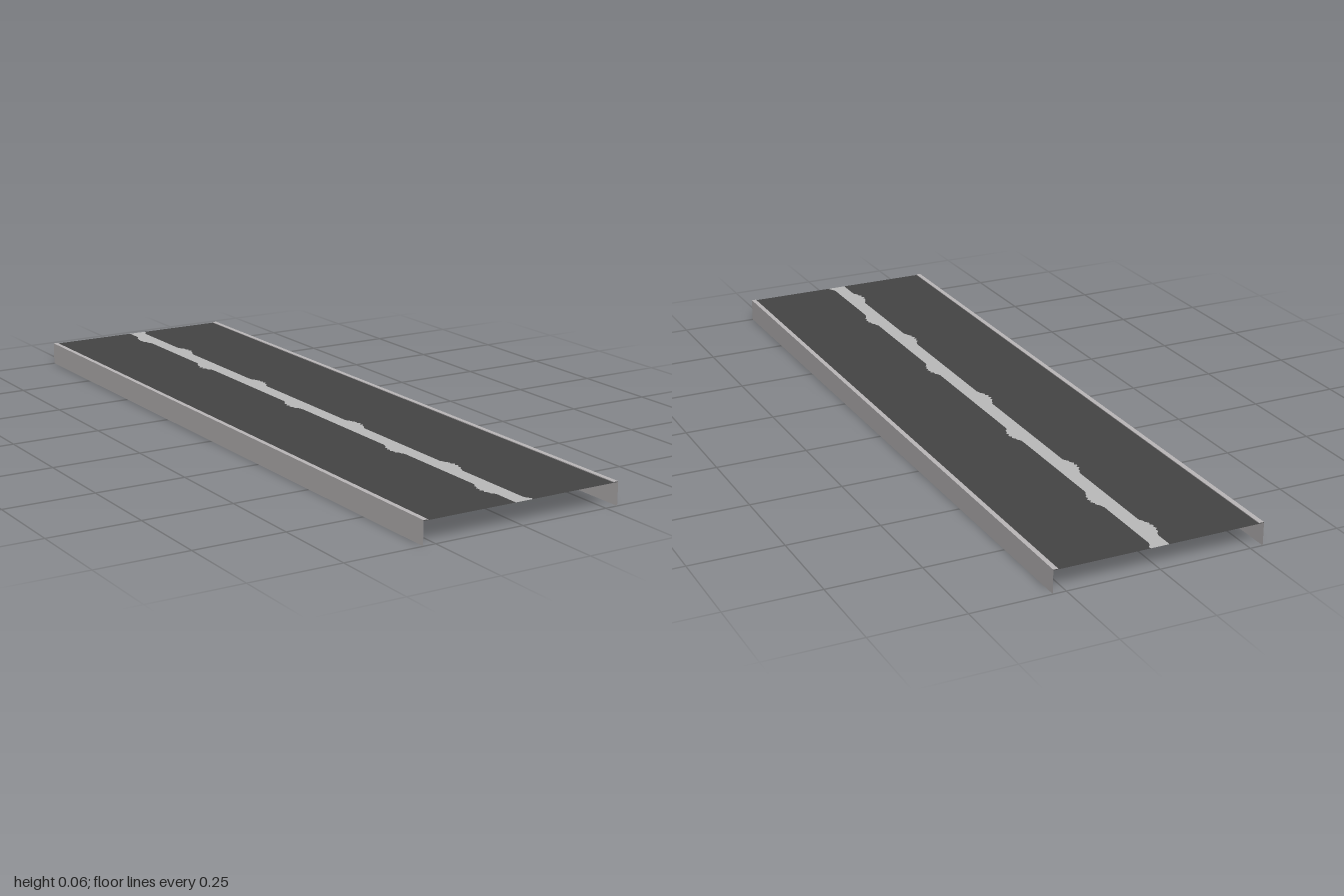
import * as THREE from 'three';

const mat = (name, color) => new THREE.MeshStandardMaterial({ name, color, side: THREE.DoubleSide });

export function createModel() {
  const asphalt = mat('asphalt', 0x444444);
  const paint = mat('line paint', 0xbababa);
  const concrete = mat('concrete', 0xbab7b8);

  const HALF = 0.285, TOP = 0.063, DECK = 0.061, KERB = 0.013, STEP = 0.008;
  const group = new THREE.Group();
  group.name = 'roadSection';

  const add = (name, geometry, material) => {
    const mesh = new THREE.Mesh(geometry, material);
    mesh.name = name;
    group.add(mesh);
    return mesh;
  };

  // Ragged edge of the centre line: straight, with small worn bulges
  const raggedEdge = (base, reach, bulges) => {
    const points = [];
    for (let i = 0; i <= 250; i++) {
      const z = -1 + i * STEP;
      let x = base;
      for (const b of bulges) {
        const d = Math.abs(z - b) / 0.045;
        if (d < 1) x += reach * (1 - d * d) * (i % 2 ? 1 : 0.65);
      }
      points.push([x, z]);
    }
    return points;
  };
  const leftEdge = raggedEdge(-0.023, -0.018, [-0.9, -0.51, -0.01, 0.49, 0.88]);
  const rightEdge = raggedEdge(0.018, 0.018, [-1.02, -0.71, -0.27, 0.24, 0.68, 1.02]);

  // Flat strip of deck between two edges running along z
  const strip = (a, b) => {
    const position = [], index = [];
    a.forEach(([x, z], i) => {
      position.push(x, DECK, z, b[i][0], DECK, b[i][1]);
      const k = i * 2;
      if (i < a.length - 1) index.push(k, k + 2, k + 1, k + 1, k + 2, k + 3);
    });
    const geometry = new THREE.BufferGeometry();
    geometry.setAttribute('position', new THREE.Float32BufferAttribute(position, 3));
    geometry.setIndex(index);
    geometry.computeVertexNormals();
    return geometry;
  };
  const straight = (x) => leftEdge.map(([, z]) => [x, z]);

  add('rightLane', strip(straight(-HALF), leftEdge), asphalt);
  add('centreLine', strip(leftEdge, rightEdge), paint);
  add('leftLane', strip(rightEdge, straight(HALF)), asphalt);

  // Side walls, with a narrow kerb along the top of each
  for (const side of [-1, 1]) {
    const label = side > 0 ? 'left' : 'right';
    const wall = new THREE.PlaneGeometry(2, TOP).rotateY(side * Math.PI / 2);
    add(label + 'Wall', wall, concrete).position.set(side * HALF, TOP / 2, 0);

    const kerb = new THREE.PlaneGeometry(KERB, 2).rotateX(-Math.PI / 2);
    add(label + 'Kerb', kerb, concrete).position.set(side * (HALF - KERB / 2), TOP, 0);

    const lip = new THREE.PlaneGeometry(2, TOP - DECK).rotateY(-side * Math.PI / 2);
    add(label + 'KerbLip', lip, concrete).position.set(side * (HALF - KERB), (TOP + DECK) / 2, 0);
  }
  return group;
}
